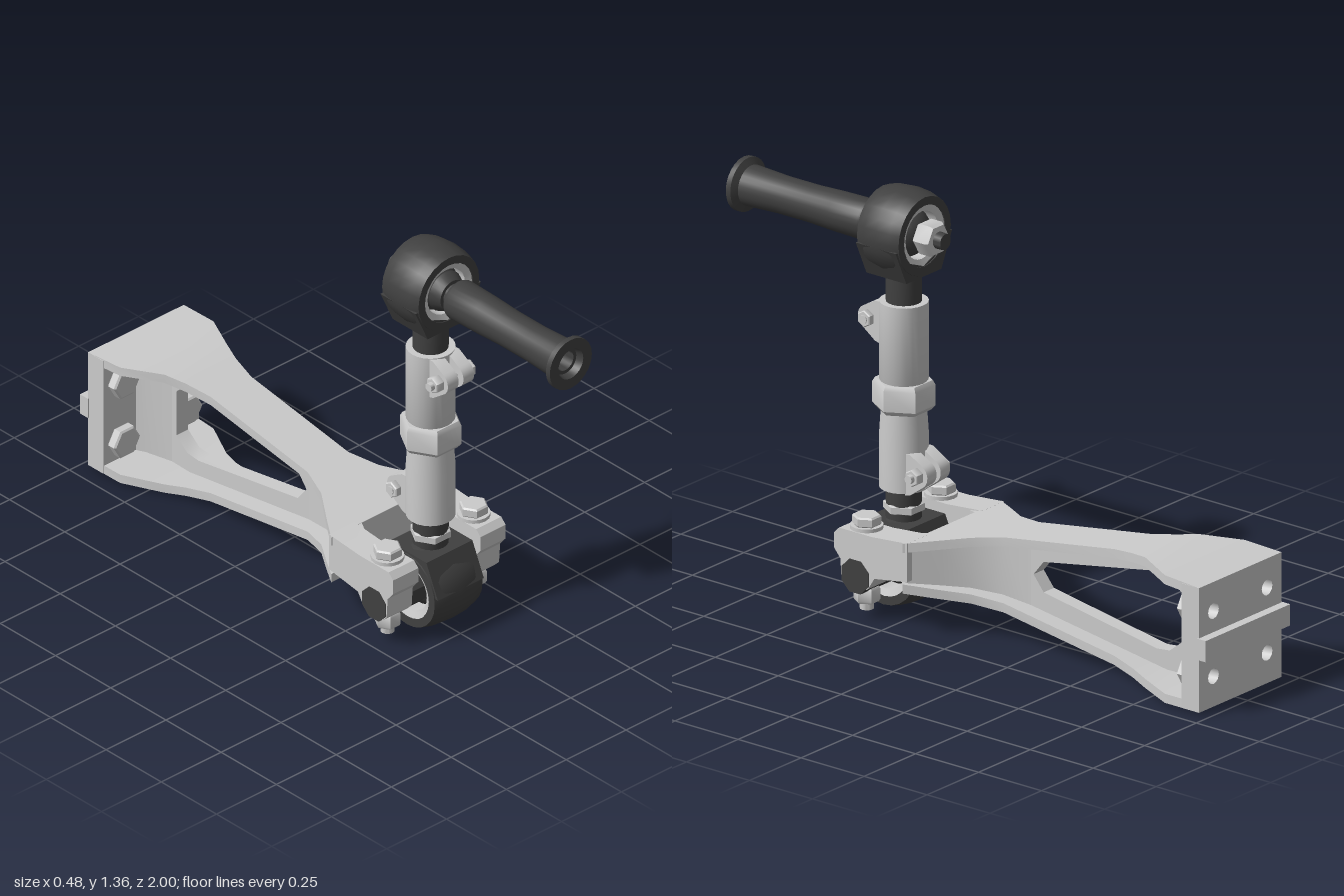
import * as THREE from 'three';
import { toCreasedNormals } from 'three/addons/utils/BufferGeometryUtils.js';

const grey = new THREE.MeshStandardMaterial({ color: 0xcccccc });
const dark = new THREE.MeshStandardMaterial({ color: 0x404040 });
const ROD_Z = 0.365;

function add(parent, name, geometry, material = grey, x = 0, y = 0, z = 0) {
  const mesh = new THREE.Mesh(toCreasedNormals(geometry, 0.6), material);
  mesh.name = name;
  mesh.position.set(x, y, z);
  parent.add(mesh);
  return mesh;
}

function group(parent, name, x = 0, y = 0, z = 0) {
  const g = new THREE.Group();
  g.name = name;
  g.position.set(x, y, z);
  parent.add(g);
  return g;
}

// Box-like beam through sections [z, x0, x1, y0, y1], listed from back to front
function loft(sections) {
  const rings = sections.map(([z, x0, x1, y0, y1]) =>
    [[x0, y0, z], [x1, y0, z], [x1, y1, z], [x0, y1, z]]);
  const out = [];
  const quad = (a, b, c, d) => out.push(...a, ...b, ...c, ...a, ...c, ...d);
  for (let s = 0; s < rings.length - 1; s++) {
    const A = rings[s], B = rings[s + 1];
    for (let i = 0; i < 4; i++) {
      const j = (i + 1) % 4;
      quad(A[i], A[j], B[j], B[i]);
    }
  }
  const f = rings[0], l = rings[rings.length - 1];
  quad(f[3], f[2], f[1], f[0]);
  quad(l[0], l[1], l[2], l[3]);
  const g = new THREE.BufferGeometry();
  g.setAttribute('position', new THREE.Float32BufferAttribute(out, 3));
  g.computeVertexNormals();
  return g;
}

const points = list => list.map(p => new THREE.Vector2(...p));

// Side profile of [z, y] points extruded across x
function sideExtrude(outline, x0, x1, hole) {
  const shape = new THREE.Shape(points(outline));
  if (hole) shape.holes.push(new THREE.Path(points(hole)));
  return new THREE.ExtrudeGeometry(shape, { depth: x1 - x0, bevelEnabled: false })
    .rotateY(-Math.PI / 2).translate(x1, 0, 0);
}

// Lathe about y from [radius, y] points
const lathe = (profile, sides = 24) => new THREE.LatheGeometry(points(profile), sides);

// Chamfered hexagon, standing on y = 0
const hex = (r, h) => lathe([[0, 0], [r * 0.9, 0], [r, h * 0.15], [r, h * 0.85], [r * 0.88, h], [0, h]], 6)
  .rotateY(Math.PI / 6);

// Height of the arm's upper and lower faces along z
const topY = z => z > -0.7 ? 0.29 + (0.3 - z) * 0.155 : 0.445 + (z + 0.7) * 0.055;
const lowY = z => z > -0.7 ? 0.165 - (0.3 - z) * 0.15 : 0.015 - (z + 0.7) * 0.02;

function makeArm(root) {
  const arm = group(root, 'supportArm');
  const plan = [[-0.97, 0.2], [-0.83, 0.195], [-0.7, 0.13], [-0.63, 0.105], [-0.54, 0.085],
    [-0.1, 0.085], [0, 0.12], [0.1, 0.19], [0.175, 0.24]];
  add(arm, 'upperFlange', loft(plan.map(([z, w]) => [z, -w, w, topY(z) - 0.03, topY(z)])));
  add(arm, 'lowerFlange', loft(plan.map(([z, w]) => [z, -w, w, lowY(z), lowY(z) + 0.03])));

  // Central web with its window
  const ends = [0.1, -0.7, -0.92];
  const outline = [...ends.map(z => [z, topY(z) - 0.02]),
    ...[...ends].reverse().map(z => [z, lowY(z) + 0.02])];
  const windowHole = [[-0.17, 0.23], [-0.21, 0.28], [-0.66, 0.36], [-0.71, 0.355], [-0.76, 0.31],
    [-0.76, 0.15], [-0.71, 0.11], [-0.66, 0.105], [-0.21, 0.18]];
  add(arm, 'web', sideExtrude(outline, -0.025, 0.025, windowHole));

  // Web flares out at both ends
  const flare = list => loft(list.map(([z, w]) => [z, -w, w, lowY(z) + 0.015, topY(z) - 0.015]));
  add(arm, 'forkRoot', flare([[-0.16, 0.025], [-0.06, 0.04], [0.03, 0.085], [0.1, 0.15], [0.175, 0.225]]));
  add(arm, 'plateRoot', flare([[-0.91, 0.07], [-0.87, 0.05], [-0.78, 0.025]].sort((a, b) => a[0] - b[0])));

  // Mounting plate with bolt holes and locating key
  const plate = new THREE.Shape(points([[-0.2, 0.02], [0.2, 0.02], [0.2, 0.43], [-0.2, 0.43]]));
  for (const x of [-0.13, 0.13]) for (const y of [0.12, 0.335]) {
    const hole = new THREE.Path();
    hole.absarc(x, y, 0.026, 0, Math.PI * 2, true);
    plate.holes.push(hole);
    add(arm, 'plateBolt', hex(0.055, 0.035).rotateX(Math.PI / 2), grey, x, y, -0.9);
  }
  add(arm, 'mountingPlate', new THREE.ExtrudeGeometry(plate,
    { depth: 0.07, bevelEnabled: false, curveSegments: 6 }), grey, 0, 0, -0.97);
  add(arm, 'locatingKey', new THREE.BoxGeometry(0.41, 0.07, 0.035), grey, 0, 0.23, -0.983);

  // Fork prongs, clamp bolts and pin ends
  const prong = [[0.16, 0.185], [0.29, 0.165], [0.315, 0.125], [0.34, 0.11], [0.4, 0.11], [0.42, 0.13],
    [0.425, 0.2], [0.45, 0.23], [0.45, 0.28], [0.43, 0.3], [0.3, 0.3], [0.16, 0.312]];
  for (const s of [-1, 1]) {
    add(arm, 'forkProng', sideExtrude(prong, s > 0 ? 0.13 : -0.235, s > 0 ? 0.235 : -0.13));
    add(arm, 'slotCorner', loft([[0.16, s * 0.155 - 0.05, s * 0.155 + 0.05, 0.19, 0.31],
      [0.21, s * 0.16 - 0.03, s * 0.16 + 0.03, 0.18, 0.303]]));
    const bolt = group(arm, 'clampBolt', s * 0.18, 0, ROD_Z);
    add(bolt, 'washer', new THREE.CylinderGeometry(0.052, 0.052, 0.014, 16), grey, 0, 0.305, 0);
    add(bolt, 'boltHead', hex(0.046, 0.033), grey, 0, 0.311, 0);
    add(bolt, 'boltNut', hex(0.042, 0.05), grey, 0, 0.06, 0);
    add(bolt, 'boltTip', new THREE.CylinderGeometry(0.022, 0.022, 0.08, 12), grey, 0, 0.075, 0);
  }
  add(arm, 'pivotPin', new THREE.CylinderGeometry(0.058, 0.058, 0.476, 8, 1)
    .rotateY(Math.PI / 8).rotateZ(Math.PI / 2), dark, 0, 0.155, ROD_Z);
}

// Ball joint with its bore along z and its neck pointing up
function makeJoint(root, name, y, width) {
  const joint = group(root, name, 0, y, ROD_Z);
  const h = width / 2;
  const ring = list => lathe(list).rotateX(Math.PI / 2);
  add(joint, 'housing', ring([[0.1, -h], [0.127, -h], [0.137, -h * 0.6], [0.141, 0], [0.137, h * 0.6],
    [0.127, h], [0.1, h], [0.1, -h]]), dark);
  add(joint, 'race', ring([[0.078, -h + 0.012], [0.1, -h + 0.004], [0.1, h - 0.004], [0.078, h - 0.012],
    [0.078, -h + 0.012]]));
  add(joint, 'ball', new THREE.SphereGeometry(0.084, 24, 16), dark);
  const shoulder = new THREE.Shape(points([[-0.137, 0.02], [-0.1, 0.02], [-0.075, 0.07], [0, 0.1], [0.075, 0.07],
    [0.1, 0.02], [0.137, 0.02], [0.085, 0.134], [-0.085, 0.134]].reverse()));
  add(joint, 'shoulder', new THREE.ExtrudeGeometry(shoulder, { depth: width * 0.96, bevelEnabled: false })
    .translate(0, 0, -width * 0.48), dark);
  add(joint, 'threadedNeck', new THREE.CylinderGeometry(0.056, 0.056, 0.2, 20), dark, 0, 0.22, 0);
  return joint;
}

// Split clamp ears with a cross bolt, facing +z
function makeClamp(root, name, y) {
  const clamp = group(root, name, 0, y, ROD_Z);
  const ear = [[0.05, -0.075], [0.07, -0.07]];
  for (let i = 0; i <= 8; i++) {
    const a = -0.9 + i * 0.25;
    ear.push([0.098 + 0.04 * Math.cos(a), 0.04 * Math.sin(a)]);
  }
  ear.push([0.07, 0.062], [0.05, 0.062]);
  for (const s of [-1, 1]) {
    add(clamp, 'ear', sideExtrude(ear, s > 0 ? 0.01 : -0.055, s > 0 ? 0.055 : -0.01));
  }
  add(clamp, 'boltShank', new THREE.CylinderGeometry(0.014, 0.014, 0.18, 12).rotateZ(Math.PI / 2),
    grey, -0.01, 0, 0.098);
  add(clamp, 'boltHead', hex(0.028, 0.032).rotateZ(Math.PI / 2), grey, -0.053, 0, 0.098);
  add(clamp, 'boltNut', hex(0.028, 0.024).rotateZ(-Math.PI / 2), grey, 0.053, 0, 0.098);
  return clamp;
}

function makeRod(root) {
  const rod = group(root, 'adjustableRod');
  // Turnbuckle sleeve and its hexagon grip
  add(rod, 'sleeve', lathe([[0.055, 0.385], [0.077, 0.385], [0.077, 0.56], [0.071, 0.65], [0.071, 0.73],
    [0.077, 0.74], [0.077, 0.995], [0.055, 0.995]]), grey, 0, 0, ROD_Z);
  add(rod, 'hexGrip', lathe([[0.07, 0.635], [0.086, 0.64], [0.099, 0.655], [0.099, 0.722], [0.09, 0.737],
    [0.07, 0.737]], 6).rotateY(Math.PI / 6), grey, 0, 0, ROD_Z);
  makeClamp(rod, 'upperClamp', 0.93);
  makeClamp(rod, 'lowerClamp', 0.455).rotation.y = Math.PI;
  add(rod, 'jamNut', hex(0.065, 0.03), grey, 0, 0.305, ROD_Z);
  makeJoint(rod, 'lowerJoint', 0.15, 0.2).rotation.y = Math.PI / 2;
  makeJoint(rod, 'upperJoint', 1.225, 0.165).rotation.z = Math.PI;
}

function makeSpindle(root) {
  const spindle = group(root, 'spindle', 0, 1.225, 0);
  // Handle sleeve with a recessed flange at the front
  add(spindle, 'handle', lathe([[0, 0.3], [0.04, 0.3], [0.04, 0.49], [0.062, 0.49], [0.066, 0.5], [0.064, 0.62],
    [0.06, 0.72], [0.06, 0.84], [0.066, 0.97], [0.088, 0.982], [0.088, 1], [0.052, 1], [0.046, 0.975],
    [0.034, 0.975], [0.034, 0.93], [0, 0.93]]).rotateX(Math.PI / 2), dark);
  add(spindle, 'frontCollar', new THREE.CylinderGeometry(0.052, 0.068, 0.035, 20).rotateX(Math.PI / 2),
    dark, 0, 0, 0.448);
  add(spindle, 'endNut', hex(0.057, 0.06).rotateX(-Math.PI / 2), grey, 0, 0, 0.288);
  add(spindle, 'threadedEnd', new THREE.CylinderGeometry(0.03, 0.026, 0.12, 14).rotateX(Math.PI / 2),
    dark, 0, 0, 0.26);
}

export function createModel() {
  const root = new THREE.Group();
  root.name = 'supportLink';
  makeArm(root);
  makeRod(root);
  makeSpindle(root);
  return root;
}
